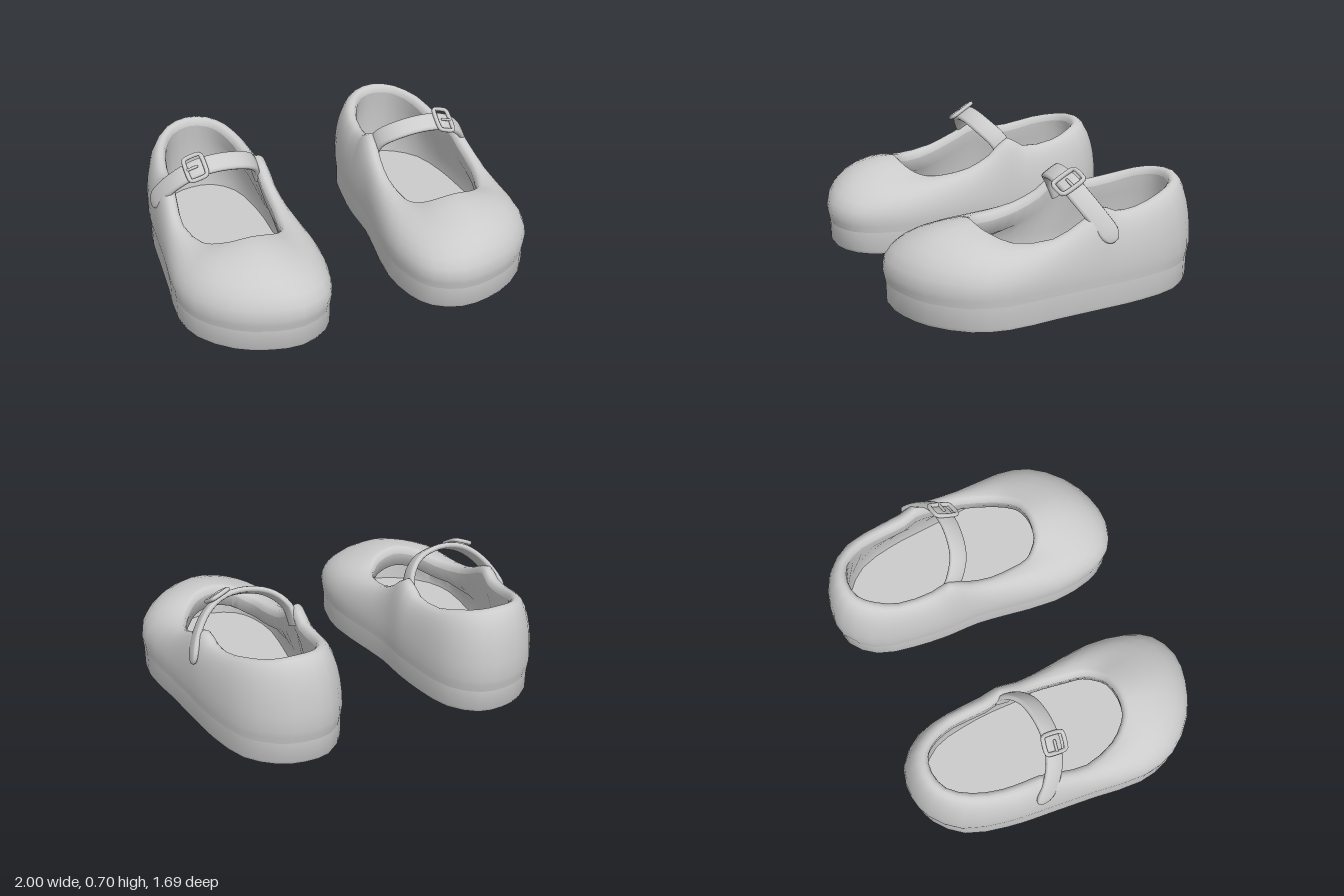
import * as THREE from 'three';
import { toCreasedNormals } from 'three/addons/utils/BufferGeometryUtils.js';

const V = (x, y, z) => new THREE.Vector3(x, y, z);
const material = new THREE.MeshStandardMaterial({ color: 0xcccccc });

// Stations around the shoe, heel -> outer side -> toe -> inner side:
// widest outline x, z, then opening crest x, y, z
const STATIONS = [
  [.59, -.845, .59, .575, -.74], [.725, -.80, .71, .56, -.70], [.86, -.66, .80, .53, -.57],
  [.925, -.43, .84, .49, -.40], [.945, -.27, .85, .49, -.28], [.95, -.20, .86, .525, -.20],
  [.96, -.08, .875, .47, -.08], [.975, .10, .885, .40, .08], [1.0, .38, .82, .385, .28],
  [.95, .57, .74, .42, .375], [.795, .74, .68, .44, .41], [.62, .82, .58, .455, .425],
  [.45, .84, .46, .43, .405], [.30, .77, .40, .40, .36], [.225, .64, .355, .385, .30],
  [.19, .41, .335, .385, .20], [.23, .08, .32, .41, .05], [.25, -.08, .325, .47, -.08],
  [.25, -.20, .335, .56, -.20], [.25, -.29, .34, .50, -.30], [.27, -.50, .35, .51, -.50],
  [.32, -.70, .40, .545, -.63], [.445, -.83, .475, .565, -.715],
];
const SIDES = STATIONS.length * 2;

function sampleLoop(points) {
  const curve = new THREE.CatmullRomCurve3(points, true);
  return Array.from({ length: SIDES }, (_, i) => curve.getPoint(i / SIDES));
}

// Skin a list of closed rings that all have the same number of points
function loft(name, rings, crease = 1) {
  const n = rings[0].length, index = [];
  for (let r = 0; r < rings.length - 1; r++) {
    for (let i = 0; i < n; i++) {
      const a = r * n + i, b = r * n + (i + 1) % n;
      index.push(a, a + n, b, b, a + n, b + n);
    }
  }
  const geometry = new THREE.BufferGeometry().setFromPoints(rings.flat());
  geometry.setIndex(index);
  const mesh = new THREE.Mesh(toCreasedNormals(geometry, crease), material);
  mesh.name = name;
  return mesh;
}

function addBody(shoe) {
  const outline = sampleLoop(STATIONS.map(([x, z]) => V(x, .2, z)));
  const crest = sampleLoop(STATIONS.map(([, , x, y, z]) => V(x, y, z)));

  // Outline scaled about the middle of the shoe
  const level = (s, y) => outline.map((p) => V(.595 + (p.x - .595) * s, y, p.z * s));
  // Quarter-ellipse bulge from the outline up to the crest
  const bulge = (t) => outline.map((p, i) => {
    const c = Math.cos(t * Math.PI / 2), s = Math.sin(t * Math.PI / 2), q = crest[i];
    return V(q.x + (p.x - q.x) * c, p.y + (q.y - p.y) * s, q.z + (p.z - q.z) * c);
  });
  // Crest moved towards the spine of the opening and lowered
  const roll = (d, drop) => crest.map((p) => {
    const dir = V(.595 - p.x, 0, THREE.MathUtils.clamp(p.z, -.45, .12) - p.z).normalize();
    return p.clone().addScaledVector(dir, d).setY(p.y - drop);
  });

  shoe.add(loft('sole', [level(0, 0), level(.965, 0), level(.98, .02), level(.983, .13)], .8));
  shoe.add(loft('upper', [
    level(.983, .13), level(.992, .165),
    ...[0, .15, .3, .45, .6, .75, .88, 1].map(bulge),
    roll(.016, .002), roll(.03, .016), roll(.035, .04),
  ], 1.2));
  shoe.add(loft('lining', [
    roll(.035, .04), roll(.025, .12), level(.87, .2), level(.86, .11),
  ], 1.2));
  shoe.add(loft('insole', [level(.86, .11), level(0, .11)]));
}

// Strap rises inside the opening and hangs down over the outer side
const strapPath = new THREE.CatmullRomCurve3([
  V(.355, .44, -.205), V(.375, .54, -.155), V(.46, .61, -.095), V(.6, .64, -.07),
  V(.72, .625, -.075), V(.81, .575, -.1), V(.88, .50, -.145), V(.925, .42, -.195), V(.945, .36, -.23),
]);

function strapFrame(u) {
  const tangent = strapPath.getTangentAt(u);
  const width = V(0, .52, -.85);
  width.addScaledVector(tangent, -width.dot(tangent)).normalize();
  return { centre: strapPath.getPointAt(u), tangent, width, normal: tangent.clone().cross(width) };
}

function addStrap(shoe) {
  const ring = (u, halfWidth, halfThick) => {
    const { centre, width, normal } = strapFrame(u);
    return Array.from({ length: 12 }, (_, i) => {
      const a = i / 12 * Math.PI * 2, c = Math.cos(a), s = -Math.sin(a);
      return centre.clone()
        .addScaledVector(width, halfWidth * Math.sign(c) * Math.sqrt(Math.abs(c)))
        .addScaledVector(normal, halfThick * Math.sign(s) * Math.sqrt(Math.abs(s)));
    });
  };
  const rings = [ring(0, 0, 0)];
  for (let i = 0; i <= 24; i++) rings.push(ring(i / 24 * .92, .054, .016));
  // Rounded tip
  for (const a of [.3, .6, .8, .93, 1]) {
    const k = Math.sqrt(1 - a * a);
    rings.push(ring(.92 + .08 * a, .054 * k, .016 * Math.sqrt(k)));
  }
  shoe.add(loft('strap', rings, 1.3));
}

function addBuckle(shoe) {
  const buckle = new THREE.Group();
  buckle.name = 'buckle';
  const { centre, tangent, width, normal } = strapFrame(.57);
  buckle.quaternion.setFromRotationMatrix(new THREE.Matrix4().makeBasis(tangent, width, normal));
  buckle.position.copy(centre).addScaledVector(normal, .02);

  // Rounded rectangular frame
  const hx = .05, hy = .07, r = .016, corners = [];
  for (const [sx, sy, start] of [[1, 1, 0], [-1, 1, 1], [-1, -1, 2], [1, -1, 3]]) {
    for (let k = 0; k <= 2; k++) {
      const a = (start + k / 2) * Math.PI / 2;
      corners.push(V(sx * (hx - r) + r * Math.cos(a), sy * (hy - r) + r * Math.sin(a), 0));
    }
  }
  const frame = new THREE.Mesh(new THREE.TubeGeometry(
    new THREE.CatmullRomCurve3(corners, true), 40, .012, 8, true), material);
  frame.name = 'buckleFrame';

  // Prong lying across the strap
  const prong = new THREE.Mesh(new THREE.CapsuleGeometry(.008, .055, 4, 8), material);
  prong.name = 'bucklePin';
  prong.rotation.z = Math.PI / 2;
  prong.position.set(.018, 0, .004);
  buckle.add(frame, prong);
  shoe.add(buckle);
}

function createShoe(name, side) {
  const shoe = new THREE.Group();
  shoe.name = name;
  addBody(shoe);
  addStrap(shoe);
  addBuckle(shoe);
  shoe.scale.x = side;
  return shoe;
}

export function createModel() {
  const model = new THREE.Group();
  model.name = 'pairOfStrapShoes';
  model.add(createShoe('leftShoe', 1), createShoe('rightShoe', -1));
  return model;
}
